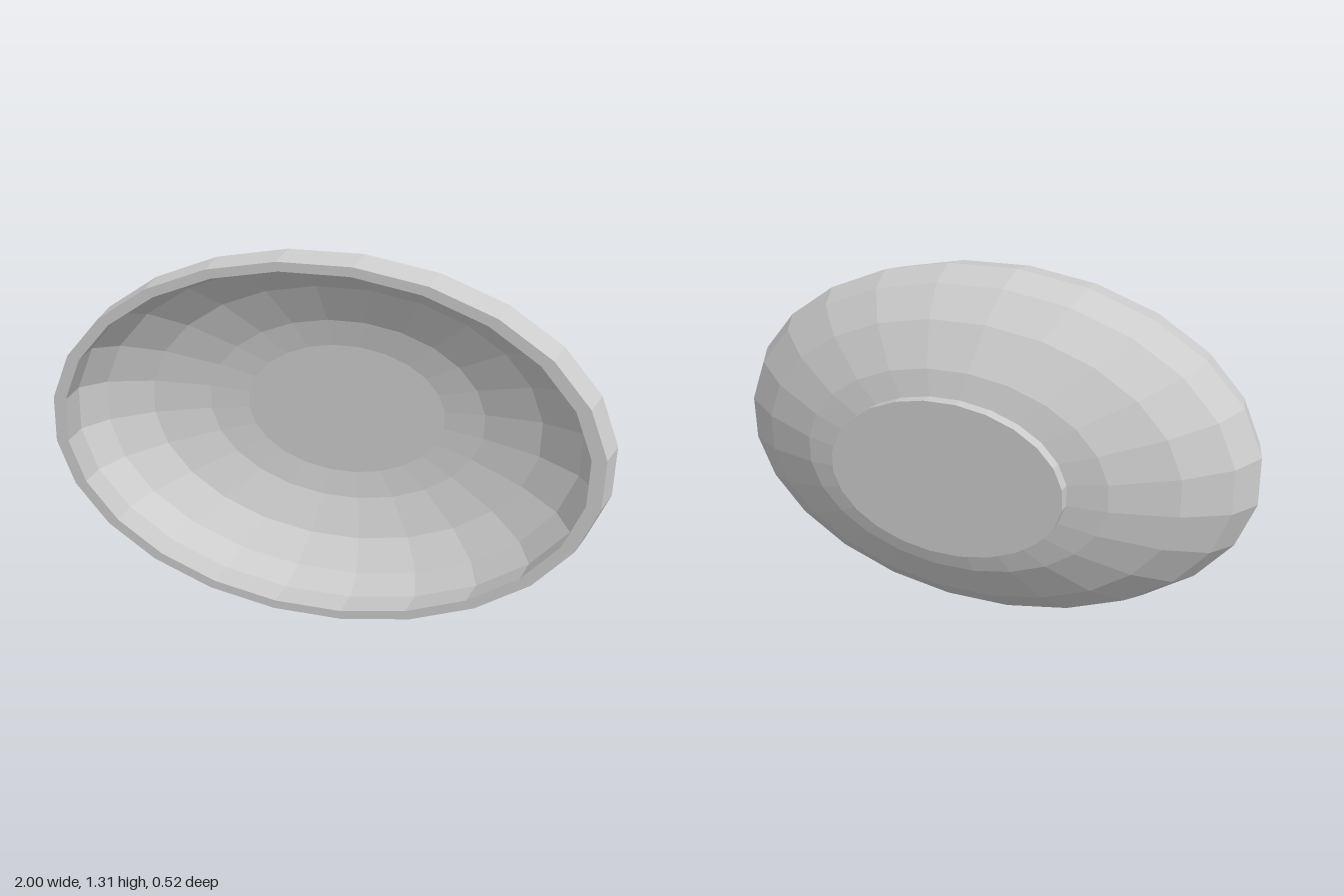
import * as THREE from 'three';

const SIDES = 24;
const PHASE = THREE.MathUtils.degToRad(6.5);
const RADIUS_X = 1.006, RADIUS_Y = 0.659, CENTRE_Y = 0.655;

// Turns a [radius, z] profile around the z axis and squashes it to an oval
function ovalLathe(name, profile, material) {
  const points = profile.map(([r, z]) => new THREE.Vector2(r, z));
  const geometry = new THREE.LatheGeometry(points, SIDES, PHASE);
  geometry.rotateX(Math.PI / 2);
  geometry.scale(RADIUS_X, RADIUS_Y, 1);
  geometry.translate(0, CENTRE_Y, 0);
  const mesh = new THREE.Mesh(geometry, material);
  mesh.name = name;
  return mesh;
}

export function createModel() {
  const group = new THREE.Group();
  group.name = 'ovalBowl';
  const material = new THREE.MeshStandardMaterial({ color: 0xcccccc, flatShading: true });

  // Bowl: outer wall up to the rim, across it, then down the inner wall to the floor
  const outerWall = [[0.43, -0.215], [0.565, -0.19], [0.785, -0.1], [0.935, 0.01], [1, 0.13], [0.973, 0.26]];
  const innerWall = [[0.925, 0.26], [0.945, 0.13], [0.885, 0.02], [0.74, -0.08], [0.53, -0.145], [0.38, -0.163], [0, -0.163]];
  group.add(ovalLathe('bowl', [...outerWall, ...innerWall], material));

  // Foot: short oval disc closing the back
  group.add(ovalLathe('foot', [[0, -0.26], [0.43, -0.26], [0.43, -0.21]], material));

  return group;
}
